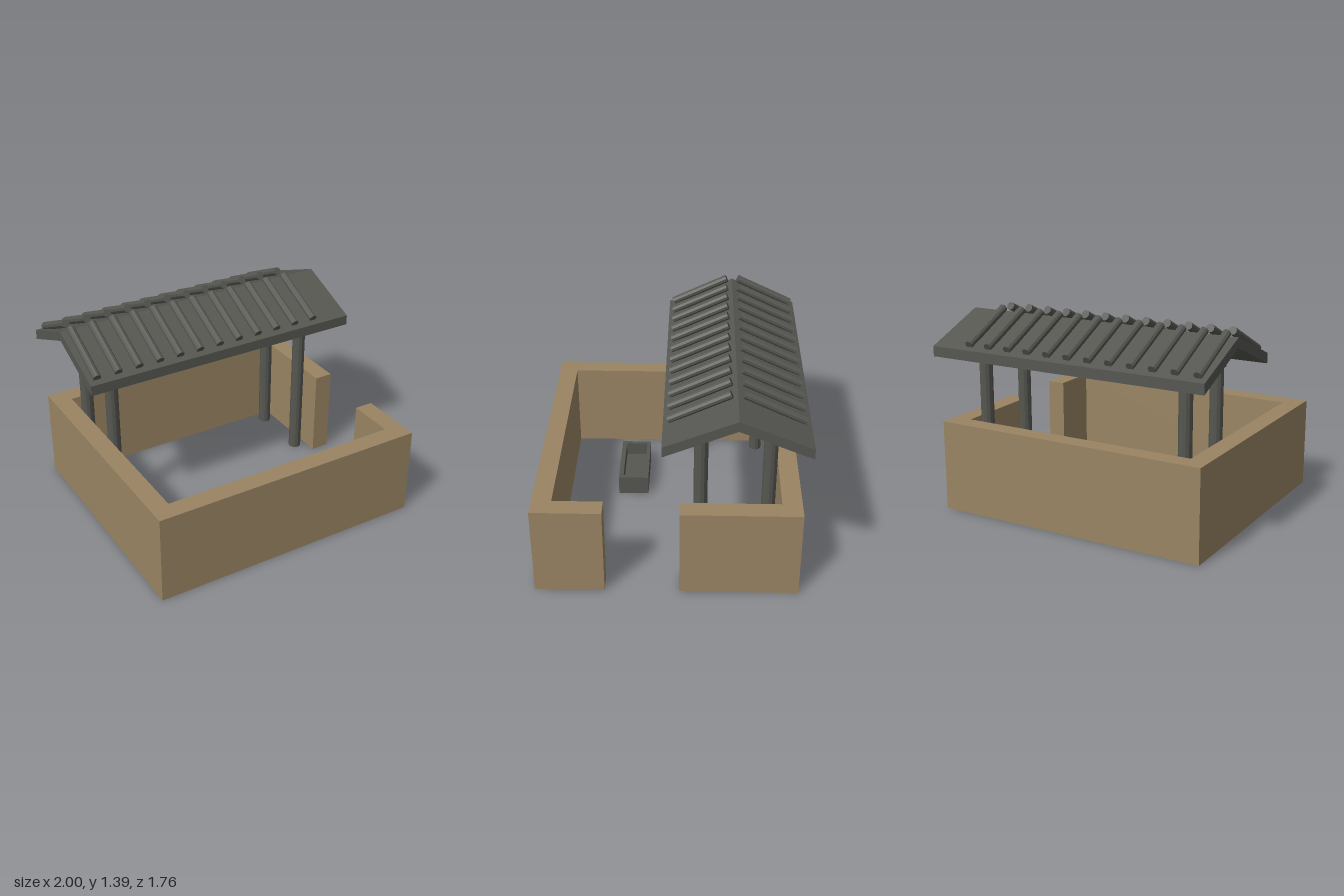
import * as THREE from 'three';

const clay = new THREE.MeshStandardMaterial({ color: 0x9a8563, flatShading: true });
clay.name = 'clay';
const slate = new THREE.MeshStandardMaterial({ color: 0x565751, flatShading: true });
slate.name = 'slate';

const RIDGE_Z = -0.42;

function add(parent, name, geometry, material, x = 0, y = 0, z = 0) {
  const mesh = new THREE.Mesh(geometry, material);
  mesh.name = name;
  mesh.position.set(x, y, z);
  parent.add(mesh);
  return mesh;
}

const points = (list) => list.map(([x, y]) => new THREE.Vector2(x, y));

// Plan outline given as [x, z] points, raised to a height
function raisePlan(outline, height, hole) {
  const flip = (list) => points(list.map(([x, z]) => [x, -z]));
  const shape = new THREE.Shape(flip(outline));
  if (hole) shape.holes.push(new THREE.Path(flip(hole)));
  return new THREE.ExtrudeGeometry(shape, { depth: height, bevelEnabled: false }).rotateX(-Math.PI / 2);
}

const rect = (x0, x1, z0, z1) => [[x0, z0], [x0, z1], [x1, z1], [x1, z0]];

export function createModel() {
  const model = new THREE.Group();
  model.name = 'courtyardShelter';

  // Courtyard wall with a doorway gap on the +x side
  add(model, 'courtyardWall', raisePlan([
    [0.97, -0.07], [0.97, -0.85], [-0.97, -0.85], [-0.97, 0.88], [0.97, 0.88], [0.97, 0.42],
    [0.84, 0.42], [0.84, 0.75], [-0.84, 0.75], [-0.84, -0.72], [0.84, -0.72], [0.84, -0.07],
  ], 0.625), clay);

  // Two rows of posts, each carrying a beam
  for (const z of [-0.2, -0.635]) {
    for (const x of [-0.757, 0.757]) {
      add(model, 'post', new THREE.CylinderGeometry(0.045, 0.045, 1.08, 12), slate, x, 0.54, z);
    }
    add(model, 'beam', new THREE.BoxGeometry(1.6, 0.115, 0.09), slate, 0, 1.133, z);
  }

  // Gabled roof slab
  const gable = new THREE.Shape(points([
    [-0.46, 1.08], [0, 1.27], [0.46, 1.08], [0.46, 1.15], [0, 1.337], [-0.46, 1.15],
  ]));
  const roof = new THREE.ExtrudeGeometry(gable, { depth: 2, bevelEnabled: false });
  roof.translate(0, 0, -1).rotateY(Math.PI / 2);
  add(model, 'roof', roof, slate, 0, 0, RIDGE_Z);

  // Rows of tile ribs on both slopes
  const rib = new THREE.CylinderGeometry(0.028, 0.028, 0.43, 10);
  const tilt = Math.atan2(0.388, 0.185);
  for (const side of [1, -1]) {
    for (let i = 0; i < 12; i++) {
      const mesh = add(model, 'roofRib', rib, slate, -0.94 + i * 0.1515, 1.273, RIDGE_Z + side * 0.234);
      mesh.rotation.x = -side * tilt;
    }
  }

  // Trough: hollow rim over a solid floor
  const trough = new THREE.Group();
  trough.name = 'trough';
  model.add(trough);
  const outer = rect(-0.595, -0.11, 0.178, 0.395);
  add(trough, 'troughFloor', raisePlan(outer, 0.04), slate);
  add(trough, 'troughRim', raisePlan(outer, 0.1, rect(-0.567, -0.14, 0.205, 0.362)), slate, 0, 0.04, 0);

  return model;
}
